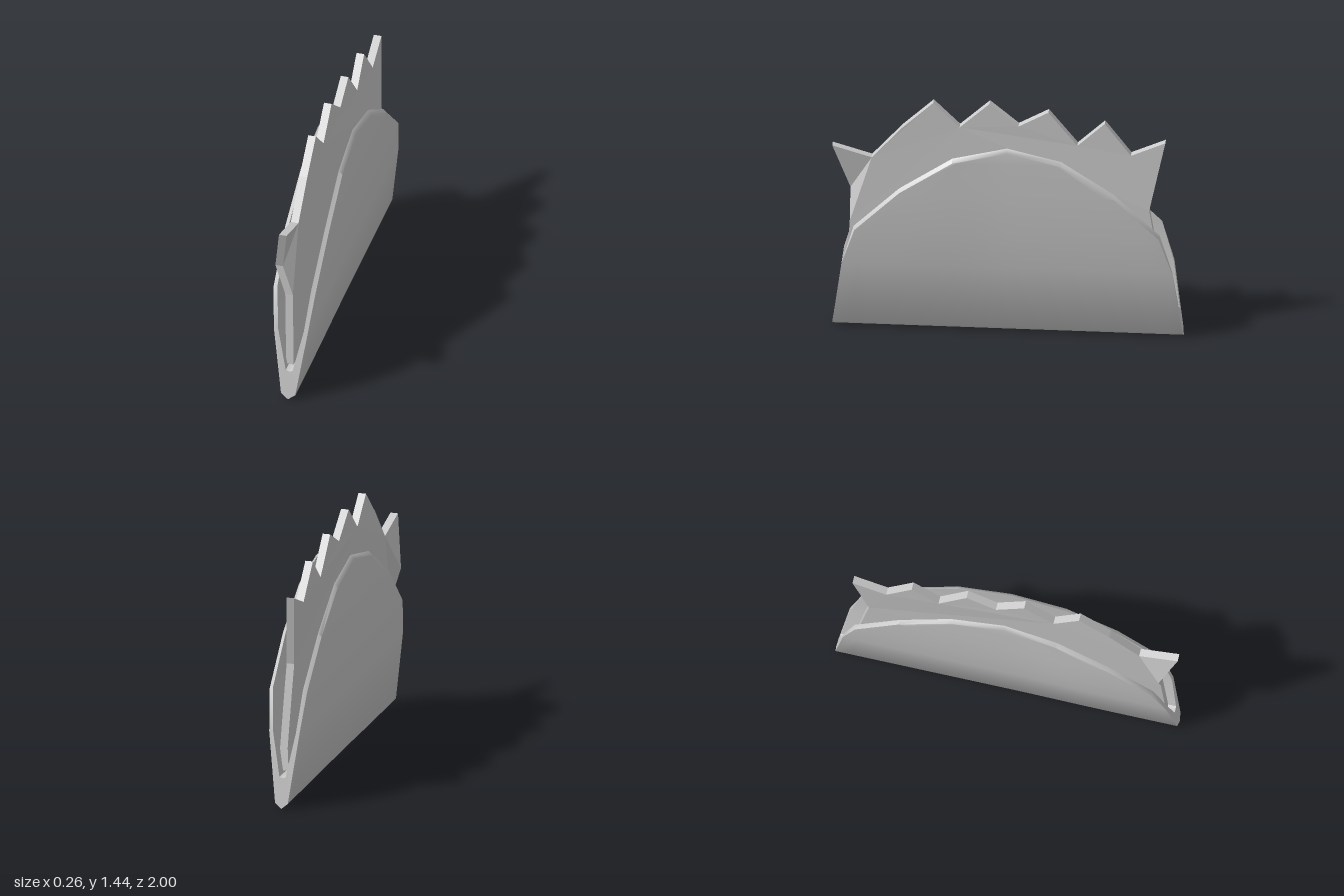
import * as THREE from 'three';
import { toCreasedNormals } from 'three/addons/utils/BufferGeometryUtils.js';

const grey = () => new THREE.MeshStandardMaterial({ color: 0xcccccc });

// Rows of one shell wall, fold to crown: [x, y, half length in z]
const OUTER = [[0, 0.003, 1], [0.042, 0.035, 0.995], [0.1, 0.44, 0.94], [0.124, 0.67, 0.865],
  [0.128, 0.92, 0.61], [0.128, 1.12, 0.31], [0.126, 1.192, 0]];
const INNER = [[0, 0.18, 0.975], [0.02, 0.185, 0.974], [0.076, 0.445, 0.938], [0.099, 0.685, 0.87],
  [0.105, 0.94, 0.61], [0.104, 1.14, 0.31], [0.101, 1.213, 0]];

// Folded shell: a U-shaped cross-section swept along z
function shellGeometry() {
  const n = OUTER.length, cols = 24, loop = 2 * n - 1;
  const half = (rows) => [
    ...rows.slice().reverse(),
    ...rows.slice(1).map(([x, y, h]) => [-x, y, h]),
  ];
  const outer = half(OUTER), inner = half(INNER);
  const point = ([x, y, h], j) => {
    const z = h * (2 * j / cols - 1);
    // slimmer at the middle and back, fuller toward the front
    const fullness = z > 0 ? 0.9 + 0.1 * THREE.MathUtils.smoothstep(z, 0, 0.6) : 0.9;
    return new THREE.Vector3(x * fullness, y, z);
  };
  const pos = [];
  const tri = (a, b, c) => {
    const area = b.clone().sub(a).cross(c.clone().sub(a)).length();
    if (area > 1e-9) for (const p of [a, b, c]) pos.push(p.x, p.y, p.z);
  };
  const quad = (a, b, c, d) => { tri(a, b, c); tri(a, c, d); };

  for (let k = 0; k < loop - 1; k++) {
    for (let j = 0; j < cols; j++) {
      quad(point(outer[k], j), point(outer[k], j + 1), point(outer[k + 1], j + 1), point(outer[k + 1], j));
      quad(point(inner[k], j), point(inner[k + 1], j), point(inner[k + 1], j + 1), point(inner[k], j + 1));
    }
    // rim between outer and inner walls, front then back
    quad(point(outer[k], cols), point(inner[k], cols), point(inner[k + 1], cols), point(outer[k + 1], cols));
    quad(point(outer[k], 0), point(outer[k + 1], 0), point(inner[k + 1], 0), point(inner[k], 0));
  }
  const g = new THREE.BufferGeometry();
  g.setAttribute('position', new THREE.Float32BufferAttribute(pos, 3));
  return toCreasedNormals(g, 0.9);
}

// Jagged filling sheet: [z, y, sideways shift in x]
const LEAF = [
  [0.93, 0.2, -0.008], [0.9, 0.66, -0.022], [0.9, 0.85, -0.08], [1, 1.14, -0.03],
  [0.775, 1.075, -0.025], [0.6, 1.275, -0.024], [0.425, 1.44, -0.024], [0.275, 1.29, -0.022],
  [0.105, 1.447, -0.024], [-0.06, 1.31, -0.02], [-0.23, 1.405, -0.022], [-0.395, 1.2, -0.018],
  [-0.55, 1.345, -0.022], [-0.7, 1.15, -0.015], [-0.895, 1.235, -0.02], [-0.805, 0.81, 0.007],
  [-0.83, 0.66, 0.012], [-0.88, 0.33, 0.022], [-0.9, 0.2, 0.01],
];

function leafGeometry() {
  const thickness = 0.045;
  const shape = new THREE.Shape(LEAF.map(([z, y]) => new THREE.Vector2(z, y)));
  const g = new THREE.ExtrudeGeometry(shape, { depth: thickness, bevelEnabled: false });
  g.translate(0, 0, -thickness / 2).rotateY(-Math.PI / 2);
  // lean and warp the sheet by its outline shifts
  const p = g.attributes.position;
  for (let i = 0; i < p.count; i++) {
    const hit = LEAF.find(([z, y]) => Math.hypot(z - p.getZ(i), y - p.getY(i)) < 1e-3);
    p.setX(i, p.getX(i) + hit[2]);
  }
  g.computeVertexNormals();
  return g;
}

export function createModel() {
  const group = new THREE.Group();
  group.name = 'taco';

  const shell = new THREE.Mesh(shellGeometry(), grey());
  shell.name = 'foldedShell';

  const leafMaterial = grey();
  leafMaterial.flatShading = true;
  const leaf = new THREE.Mesh(leafGeometry(), leafMaterial);
  leaf.name = 'lettuceFilling';

  group.add(shell, leaf);
  return group;
}
